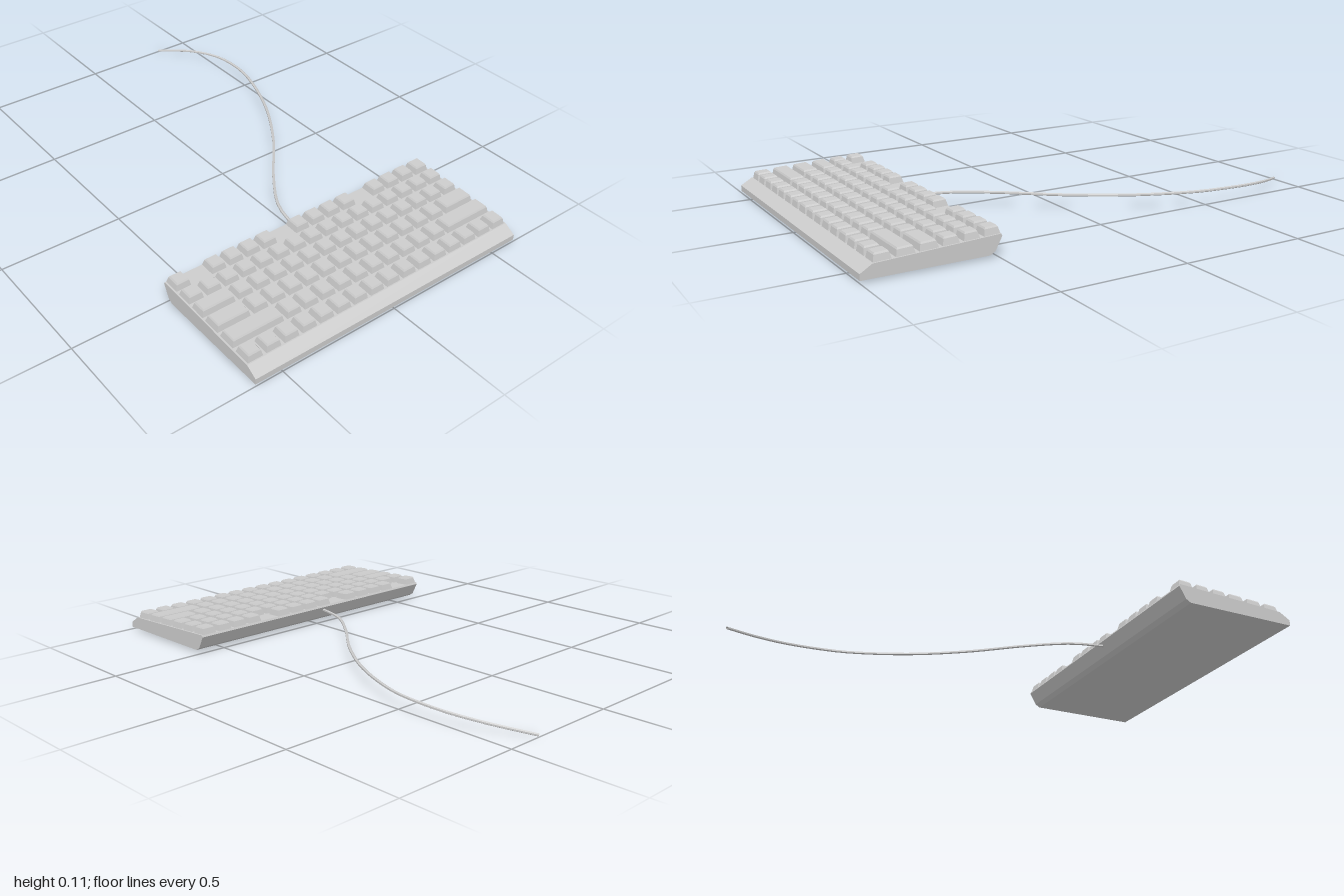
import * as THREE from 'three';

const material = new THREE.MeshStandardMaterial({ color: 0xcccccc, flatShading: true, side: THREE.DoubleSide });
const WIDTH = 1.226, PITCH = 0.0767;
const SLOPE = (0.08 - 0.06) / (0.955 - 0.487);
const deckY = z => 0.06 + (0.955 - z) * SLOPE;

function addMesh(parent, name, geometry) {
  const mesh = new THREE.Mesh(geometry, material);
  mesh.name = name;
  parent.add(mesh);
  return mesh;
}

// Side profile (z, y) extruded across the width
function caseGeometry() {
  const profile = [[1, 0.01], [1, 0.033], [0.955, 0.06], [0.487, 0.08], [0.483, 0.072], [0.51, 0.022], [0.53, 0.01]];
  const shape = new THREE.Shape(profile.map(([z, y]) => new THREE.Vector2(z, y)));
  const geometry = new THREE.ExtrudeGeometry(shape, { depth: WIDTH, bevelEnabled: false });
  return geometry.translate(0, 0, -WIDTH / 2).rotateY(-Math.PI / 2);
}

// Box tapered in two steps: steep sides, then a small chamfer round the top
function keyGeometry(width, depth) {
  const levels = [[0, -0.004], [0.0065, 0.023], [0.0105, 0.029]]; // inset, height
  const geometry = new THREE.BoxGeometry(width, 2, depth, 1, 2, 1);
  const p = geometry.attributes.position;
  for (let i = 0; i < p.count; i++) {
    const [inset, y] = levels[Math.round(p.getY(i)) + 1];
    p.setXYZ(i, p.getX(i) - Math.sign(p.getX(i)) * inset, y, p.getZ(i) - Math.sign(p.getZ(i)) * inset);
  }
  geometry.computeVertexNormals();
  return geometry;
}

// Each row, back to front: key widths in columns, negative for a gap
const singles = n => Array(n).fill(1);
const ROWS = [
  { z: 0.518, depth: 0.064, keys: [1, -1, ...singles(4), -1, ...singles(4), -1, ...singles(4)] },
  { z: 0.595, depth: 0.062, keys: singles(16) },
  { z: 0.672, depth: 0.064, keys: [2, ...singles(14)] },
  { z: 0.752, depth: 0.071, keys: [2, ...singles(12), 2] },
  { z: 0.836, depth: 0.071, keys: [3, ...singles(10), 3] },
  { z: 0.918, depth: 0.067, keys: singles(16) },
];

export function createModel() {
  const model = new THREE.Group();
  model.name = 'keyboard';
  addMesh(model, 'case', caseGeometry());

  // Keys
  ROWS.forEach(({ z, depth, keys }, r) => {
    const row = new THREE.Group();
    row.name = `keyRow${r + 1}`;
    row.position.set(0, deckY(z), z);
    row.rotation.x = Math.atan(SLOPE);
    let column = 0;
    for (const span of keys) {
      const size = Math.abs(span);
      if (span > 0) {
        const key = addMesh(row, size > 1 ? 'wideKey' : 'key', keyGeometry(size * PITCH - 0.0125, depth));
        key.position.x = (column + size / 2 - 8) * PITCH;
      }
      column += size;
    }
    model.add(row);
  });

  // Cable leaving the back and drooping to the ground
  const path = new THREE.CatmullRomCurve3([
    [-0.035, 0.058, 0.5], [0, 0.058, 0.36], [0.1, 0.058, 0.205], [0.265, 0.058, 0],
    [0.4, 0.058, -0.22], [0.49, 0.058, -0.455], [0.51, 0.058, -0.58],
    [0.5, 0.051, -0.725], [0.447, 0.034, -0.865], [0.357, 0.007, -0.998],
  ].map(p => new THREE.Vector3(...p)));
  addMesh(model, 'cable', new THREE.TubeGeometry(path, 32, 0.006, 6));

  return model;
}
